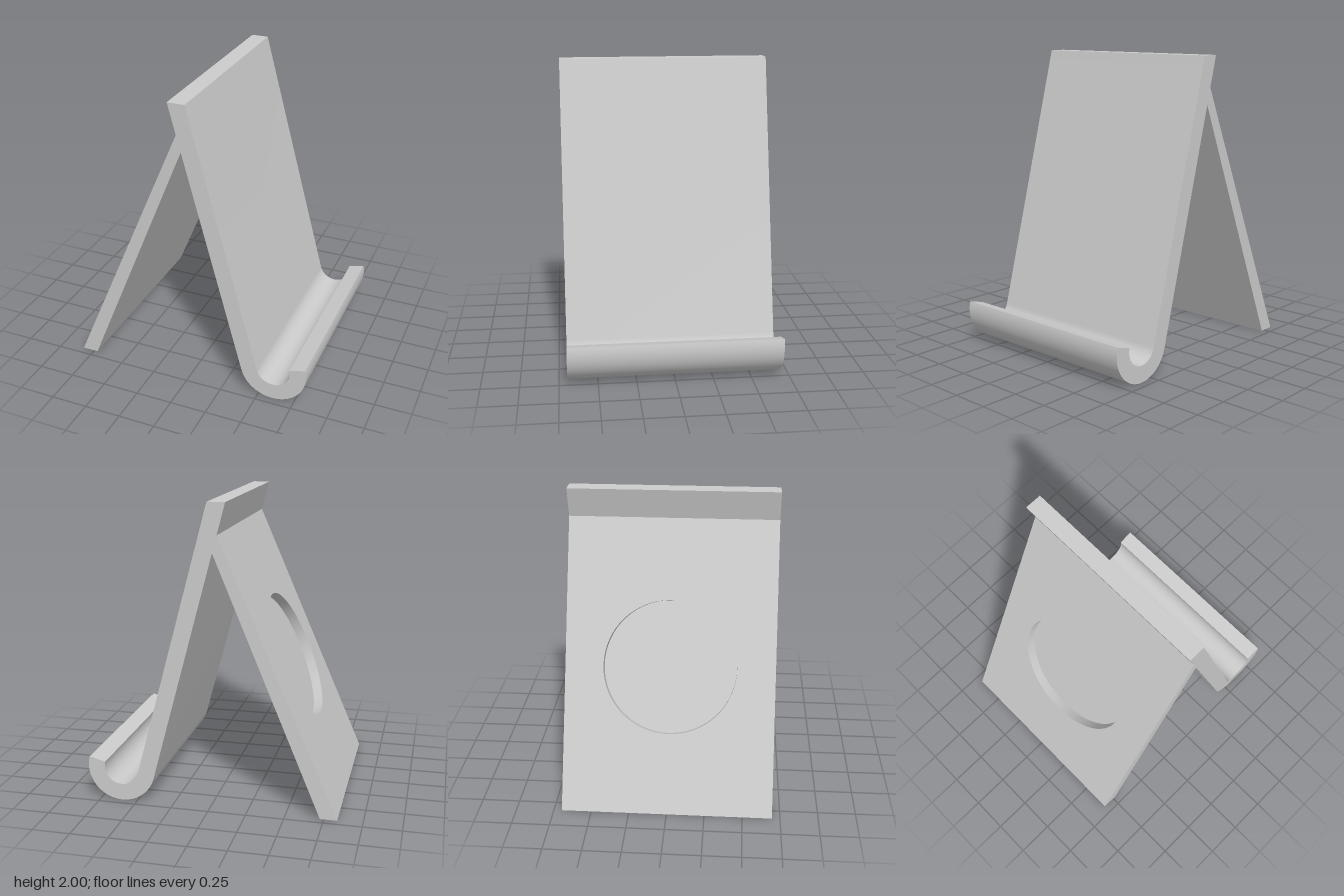
import * as THREE from 'three';
import { toCreasedNormals } from 'three/addons/utils/BufferGeometryUtils.js';

const HALF = 0.697;                       // half of the width along z
const LEAN = THREE.MathUtils.degToRad(15); // tilt of the front panel
const HOOK = { x: 0.603, y: 0.229, outer: 0.229, inner: 0.117 };
const LEG = { x: -0.836, slope: 0.435, top: 1.8, depth: 0.066 };

export function createModel() {
  const group = new THREE.Group();
  const material = new THREE.MeshStandardMaterial({ color: 0xcccccc });
  const add = (name, geometry) => {
    const mesh = new THREE.Mesh(toCreasedNormals(geometry, 0.5), material);
    mesh.name = name;
    group.add(mesh);
  };

  // x on the tilted line that meets the hook at the given radius
  const panelX = (r, y) => {
    const sx = HOOK.x - r * Math.cos(LEAN), sy = HOOK.y - r * Math.sin(LEAN);
    return sx - (y - sy) * Math.tan(LEAN);
  };
  const tilt = Math.atan(LEG.slope);
  const floorX = LEG.x + LEG.depth / Math.cos(tilt);

  // Front panel, hook and inner layer of the rear leg as one side profile
  const back0 = panelX(HOOK.outer, 0);
  const joinY = (back0 - floorX) / (LEG.slope + Math.tan(LEAN));
  const apexY = joinY - 0.008;
  const profile = new THREE.Shape();
  profile.moveTo(panelX(HOOK.inner, 2), 2);
  profile.lineTo(panelX(HOOK.outer, 2), 2);
  profile.lineTo(panelX(HOOK.outer, joinY), joinY);
  profile.lineTo(floorX, 0);
  profile.lineTo(-0.725, 0);
  profile.lineTo(panelX(HOOK.outer, apexY), apexY);
  profile.absarc(HOOK.x, HOOK.y, HOOK.outer, Math.PI + LEAN, 2 * Math.PI + LEAN, false);
  profile.absarc(HOOK.x, HOOK.y, HOOK.inner, 2 * Math.PI + LEAN, Math.PI + LEAN, true);
  profile.closePath();
  const body = new THREE.ExtrudeGeometry(profile, { depth: 2 * HALF, bevelEnabled: false, curveSegments: 32 });
  body.translate(0, 0, -HALF);
  add('panelHookAndLeg', body);

  // Outer layer of the rear leg, pierced to leave a blind round pocket
  const length = LEG.top / Math.cos(tilt);
  const plate = new THREE.Shape([
    new THREE.Vector2(0, -HALF), new THREE.Vector2(length, -HALF),
    new THREE.Vector2(length, HALF), new THREE.Vector2(0, HALF),
  ]);
  const pocket = new THREE.Path();
  pocket.absarc((-0.447 - LEG.x) / Math.sin(tilt), 0, 0.443, 0, 2 * Math.PI, true);
  plate.holes.push(pocket);
  const layer = new THREE.ExtrudeGeometry(plate, { depth: LEG.depth, bevelEnabled: false, curveSegments: 32 });

  // Slant the foot so that it lies flat on the ground
  const pos = layer.attributes.position;
  for (let i = 0; i < pos.count; i++) {
    if (pos.getX(i) < 1e-6) pos.setX(i, pos.getZ(i) * Math.tan(tilt));
  }
  layer.applyMatrix4(new THREE.Matrix4().makeBasis(
    new THREE.Vector3(Math.sin(tilt), Math.cos(tilt), 0),
    new THREE.Vector3(0, 0, 1),
    new THREE.Vector3(Math.cos(tilt), -Math.sin(tilt), 0),
  ).setPosition(LEG.x, 0, 0));
  add('rearLegWithPocket', layer);

  return group;
}
